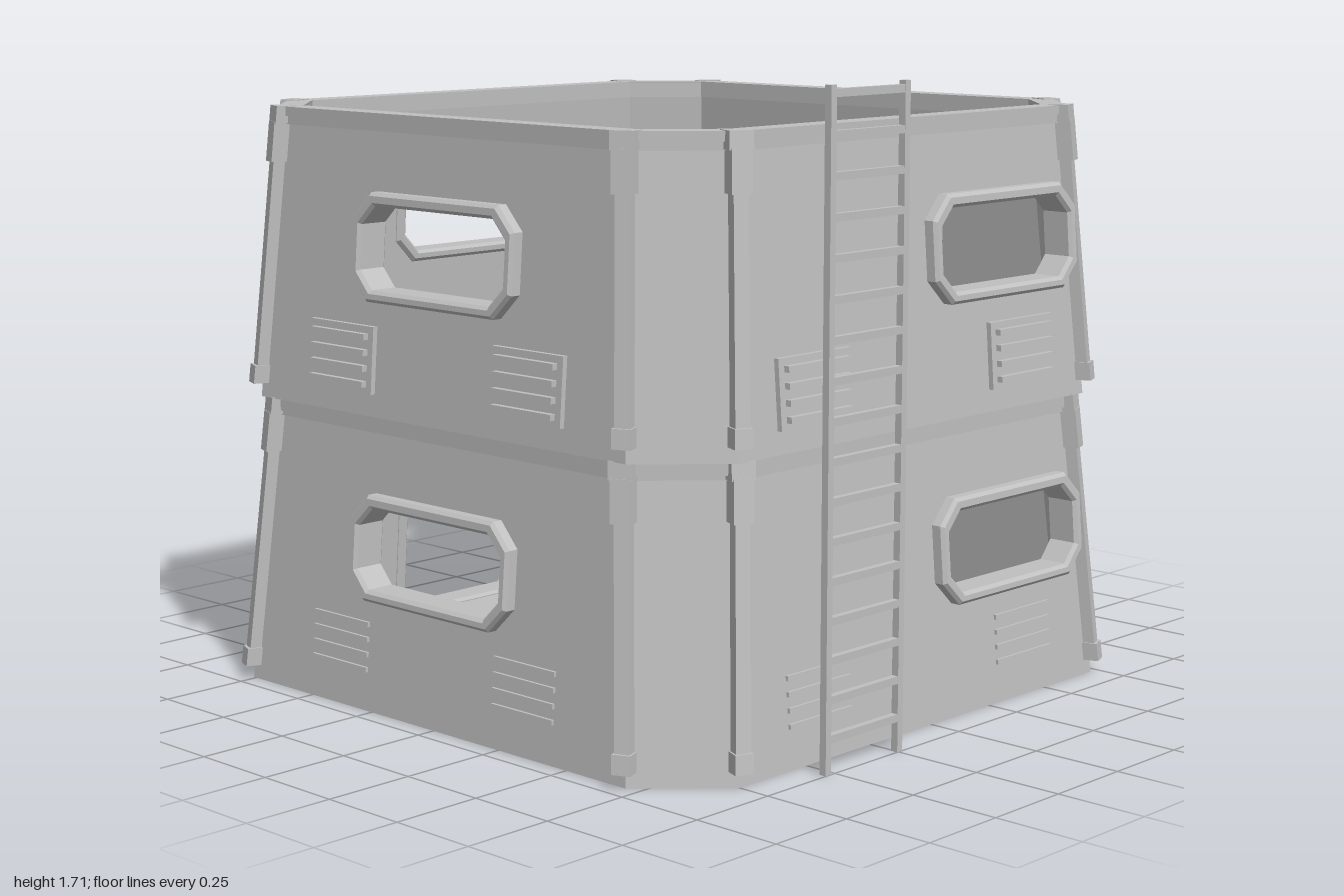
import * as THREE from 'three';

const grey = new THREE.MeshStandardMaterial({ color: 0xc0c0c0 });
grey.name = 'paintedMetal';

// The two storeys: height range, half width (h) and flat-side half width (c) at bottom and top
const LEVELS = [
  { name: 'lower', y0: 0, y1: 0.8, h: [0.932, 0.868], c: [0.735, 0.672] },
  { name: 'upper', y0: 0.8, y1: 1.6, h: [0.902, 0.842], c: [0.708, 0.655] },
];
const WALL = 0.05;
const CENTRE = [-0.015, -0.025];
const at = (pair, level, y) => pair[0] + (pair[1] - pair[0]) * (y - level.y0) / (level.y1 - level.y0);

function addMesh(parent, name, geometry) {
  const mesh = new THREE.Mesh(geometry, grey);
  mesh.name = name;
  parent.add(mesh);
  return mesh;
}

function flat(geometry) {
  const g = geometry.index ? geometry.toNonIndexed() : geometry;
  g.computeVertexNormals();
  return g;
}

// Lean a geometry onto a sloping wall: its z becomes the distance out from the wall
function lean(geometry, distance) {
  const p = geometry.attributes.position;
  for (let i = 0; i < p.count; i++) p.setZ(i, p.getZ(i) + distance(p.getY(i)));
  return flat(geometry);
}

// Rectangle with cut corners
function cutRect(u, y0, y1, w, cut, Type = THREE.Shape) {
  const a = u - w / 2, b = u + w / 2;
  return new Type([
    [a + cut, y0], [b - cut, y0], [b, y0 + cut], [b, y1 - cut],
    [b - cut, y1], [a + cut, y1], [a, y1 - cut], [a, y0 + cut],
  ].map(([x, y]) => new THREE.Vector2(x, y)));
}

function slab(shape, z0, z1, bevel = 0) {
  return new THREE.ExtrudeGeometry(shape, {
    depth: z1 - z0 - 2 * bevel, bevelEnabled: bevel > 0, bevelSegments: 1,
    bevelSize: bevel, bevelThickness: bevel, bevelOffset: -bevel,
  }).translate(0, 0, z0 + bevel);
}

function block(u, y, w, h, z0, z1) {
  return new THREE.BoxGeometry(w, h, z1 - z0).translate(u, y, (z0 + z1) / 2);
}

const window_ = (u, y0, y1) => ({ kind: 'window', u, y0, y1, w: 0.62, cut: 0.065 });
const door = () => ({ kind: 'door', u: 0, y0: 0.01, y1: 0.76, w: 0.58, cut: 0.075 });
const openHole = (o) => cutRect(o.u, o.y0 + 0.032, o.y1 - 0.036, o.w - 0.066, o.cut - 0.015, THREE.Path);

// Openings and vent positions for front, +x, back and -x sides
const SIDES = [
  { name: 'front', openings: [window_(0.37, 0.305, 0.59), window_(0.355, 1.107, 1.395)], vents: [-0.425, 0.425], ventWidth: 0.275 },
  { name: 'left', openings: [door(), window_(0, 1.107, 1.395)], vents: [] },
  { name: 'back', openings: [door(), window_(0, 1.107, 1.395)], vents: [] },
  { name: 'right', openings: [window_(0, 0.305, 0.59), window_(0, 1.107, 1.395)], vents: [-0.36, 0.36], ventWidth: 0.26 },
];

function buildSide(side, level, index) {
  const group = new THREE.Group();
  group.name = `${level.name}${side.name[0].toUpperCase()}${side.name.slice(1)}Side`;
  const dist = (y) => at(level.h, level, y);
  const put = (name, geometry) => addMesh(group, name, lean(geometry, dist));

  // Wall with its opening
  const o = side.openings[index];
  const [c0, c1] = level.c;
  const wall = new THREE.Shape([[-c0, level.y0], [c0, level.y0], [c1, level.y1], [-c1, level.y1]]
    .map(([x, y]) => new THREE.Vector2(x, y)));
  wall.holes.push(openHole(o));
  put('wall', slab(wall, -WALL, 0));

  // Raised frame around the opening
  const frame = cutRect(o.u, o.y0, o.y1, o.w, o.cut);
  frame.holes.push(openHole(o));
  put(o.kind + 'Frame', slab(frame, -WALL - 0.012, 0.036, 0.009));
  if (o.kind === 'door') {
    const plate = cutRect(0, 0.005, 0.735, 0.57, 0.004);
    plate.holes.push(openHole(o));
    put('doorBackPlate', slab(plate, -0.01, 0.014));
    put('doorControlBox', block(-0.325, 0.38, 0.042, 0.14, -0.01, 0.04));
  }

  // Vents: full panels above, bare slats below
  for (const u of side.vents) {
    if (index === 1) {
      put('ventPanel', block(u, 0.95, side.ventWidth, 0.18, -0.01, 0.014));
      for (let i = 0; i < 4; i++) put('ventSlat', block(u, 0.887 + i * 0.042, side.ventWidth - 0.04, 0.016, 0, 0.03));
    } else {
      for (let i = 0; i < 4; i++) put('ventSlat', block(u, 0.112 + i * 0.041, side.ventWidth - 0.035, 0.013, -0.01, 0.008));
    }
  }

  // Ribs along both corner edges, with a thicker bracket at the top
  for (const s of [-1, 1]) {
    const angle = s * Math.PI / 8;
    const rib = (name, ya, yb, w, out) => {
      const g = block(0, (ya + yb) / 2, w, yb - ya, -0.025, out).rotateY(angle);
      const p = g.attributes.position;
      for (let i = 0; i < p.count; i++) p.setX(i, p.getX(i) + s * at(level.c, level, p.getY(i)));
      put(name, g);
    };
    rib('cornerRib', level.y0 + 0.04, level.y1 - 0.01, 0.04, 0.024);
    rib('ribBracket', level.y1 - 0.15, level.y1 - 0.04, 0.055, 0.032);
    rib('ribFoot', level.y0 + 0.04, level.y0 + 0.09, 0.05, 0.032);
    rib('ribCap', level.y1 - 0.045, level.y1 + 0.002, 0.065, 0.03);
  }
  return group;
}

// Slanted wall across each corner
function buildCorner(level) {
  const r = Math.SQRT1_2;
  const half = level.h.map((h, i) => (h - level.c[i]) * r);
  const shape = new THREE.Shape([[-half[0], level.y0], [half[0], level.y0], [half[1], level.y1], [-half[1], level.y1]]
    .map(([x, y]) => new THREE.Vector2(x, y)));
  return lean(slab(shape, -WALL, 0), (y) => (at(level.h, level, y) + at(level.c, level, y)) * r);
}

// Flat octagonal plate or ring
function octagon(h, c, y, thickness, hole) {
  const shape = cutRect(0, -h, h, 2 * h, h - c);
  if (hole) shape.holes.push(hole);
  return slab(shape, 0, thickness).rotateX(-Math.PI / 2).translate(0, y, 0);
}

function buildLadder(name, x, z, y0, y1, rungs, width = 0.3) {
  const ladder = new THREE.Group();
  ladder.name = name;
  for (const s of [-1, 1]) {
    addMesh(ladder, 'ladderRail', block(x + s * (width / 2 - 0.01), (y0 + y1) / 2, 0.02, y1 - y0, z - 0.01, z + 0.01));
  }
  for (const y of rungs) addMesh(ladder, 'ladderRung', block(x, y, width - 0.03, 0.02, z - 0.009, z + 0.009));
  return ladder;
}

export function createModel() {
  const model = new THREE.Group();
  model.name = 'watchTower';
  const shell = new THREE.Group();
  shell.name = 'shell';
  shell.position.set(CENTRE[0], 0, CENTRE[1]);
  model.add(shell);

  LEVELS.forEach((level, index) => {
    SIDES.forEach((side, k) => {
      const group = buildSide(side, level, index);
      group.rotation.y = k * Math.PI / 2;
      shell.add(group);
      addMesh(shell, level.name + 'CornerWall', buildCorner(level)).rotation.y = (k + 0.5) * Math.PI / 2;
    });
    // Stepped rim at the top of the storey
    const h = level.h[1], c = level.c[1];
    const inner = () => cutRect(0, -(h - WALL), h - WALL, 2 * (h - WALL), h - c - 0.03, THREE.Path);
    addMesh(shell, level.name + 'Rim', octagon(h + 0.018, c + 0.008, level.y1 - 0.025, 0.025, inner()));
    addMesh(shell, level.name + 'RimStep', octagon(h + 0.012, c + 0.005, level.y1 - 0.048, 0.023, inner()));
  });

  // Floors; the upper one has a square hatch
  addMesh(shell, 'lowerFloor', octagon(0.925, 0.73, 0, 0.03));
  const hatch = cutRect(0.318 - CENTRE[0], 0.365 + CENTRE[1] - 0.205, 0.365 + CENTRE[1] + 0.205, 0.41, 0.001, THREE.Path);
  addMesh(shell, 'upperFloor', octagon(0.885, 0.69, 0.765, 0.04, hatch));

  // Ladders outside and inside
  const outer = Array.from({ length: 16 }, (_, i) => 0.09 + i * 0.1);
  model.add(buildLadder('outerLadder', -0.385, 0.99, 0, 1.71, [...outer, 1.69]));
  const innerRungs = Array.from({ length: 8 }, (_, i) => 0.1 + i * 0.09);
  model.add(buildLadder('innerLadder', 0.32, -0.37, 0.03, 0.8, innerRungs));

  // Crate and sloping desk on each floor
  for (const [name, y] of [['lower', 0.03], ['upper', 0.805]]) {
    addMesh(model, name + 'Crate', block(0.358, y + 0.135, 0.215, 0.27, 0.16, 0.33));
    const profile = new THREE.Shape([[0.24, 0], [0.43, 0], [0.43, 0.24], [0.41, 0.24], [0.26, 0.17], [0.24, 0.17]]
      .map(([z, h]) => new THREE.Vector2(-z, h)));
    const desk = slab(profile, 0, 0.31).rotateY(Math.PI / 2).translate(-0.58, y, 0);
    addMesh(model, name + 'Desk', desk);
  }
  return model;
}
